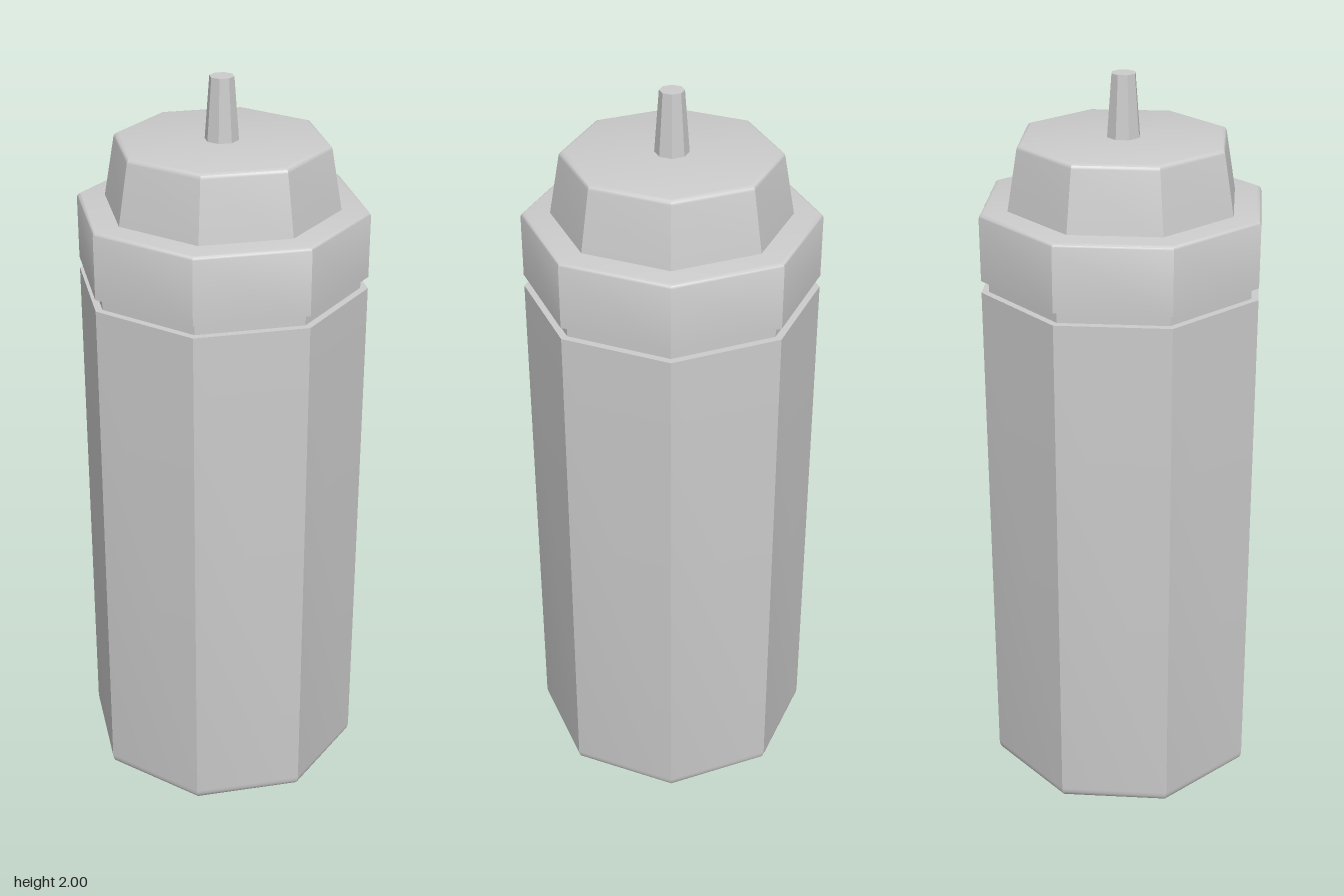
import * as THREE from 'three';
import { toCreasedNormals } from 'three/addons/utils/BufferGeometryUtils.js';

const SIDES = 8;
const material = new THREE.MeshStandardMaterial({ color: 0xcccccc });

// Points of a rounded corner, between angles a and b (degrees) on an ellipse
function corner(cx, cy, rx, ry, a, b, steps = 4) {
  return Array.from({ length: steps + 1 }, (_, i) => {
    const t = THREE.MathUtils.degToRad(a + ((b - a) * i) / steps);
    return [cx + rx * Math.cos(t), cy + ry * Math.sin(t)];
  });
}

// Eight-sided turned part: profile runs from bottom to top
function turned(name, profile) {
  const points = profile.map(([r, y]) => new THREE.Vector2(r, y));
  const lathe = new THREE.LatheGeometry(points, SIDES);
  const mesh = new THREE.Mesh(toCreasedNormals(lathe, 0.6), material);
  mesh.name = name;
  return mesh;
}

export function createModel() {
  const model = new THREE.Group();
  model.name = 'squeezeBottle';

  // Tall body with a softened bottom edge
  model.add(turned('body', [
    [0, 0], ...corner(0.368, 0.03, 0.02, 0.03, -90, 0),
    [0.388, 1.455], [0.36, 1.455], [0, 1.455],
  ]));

  // Recessed neck showing in the gap under the cap
  model.add(turned('neck', [[0.368, 1.45], [0.368, 1.49]]));

  // Screw cap collar
  model.add(turned('capCollar', [
    [0, 1.487], [0.388, 1.487],
    ...corner(0.376, 1.653, 0.012, 0.014, 0, 90), [0, 1.667],
  ]));

  // Tapered upper part of the cap
  model.add(turned('capTop', [
    [0.313, 1.66], ...corner(0.272, 1.823, 0.012, 0.014, 10, 90), [0, 1.837],
  ]));

  // Narrow pouring tip
  model.add(turned('nozzle', [[0.045, 1.83], [0.032, 2], [0, 2]]));

  return model;
}
